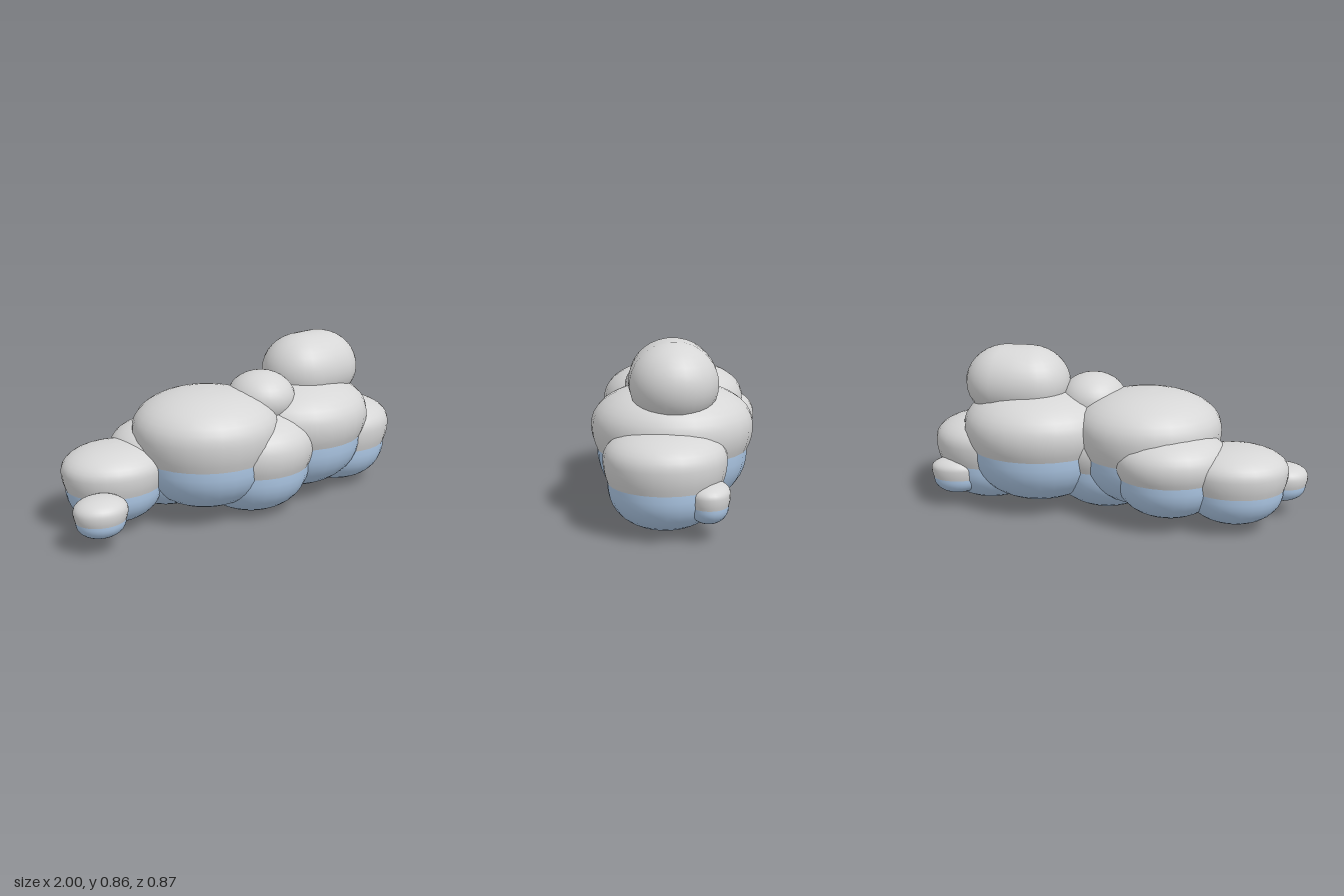
import * as THREE from 'three';

export function createModel() {
  const cloud = new THREE.Group();
  cloud.name = 'cloud';
  const paleGrey = new THREE.MeshStandardMaterial({ color: 0xd6d6d6 });
  paleGrey.name = 'paleGrey';
  const softBlue = new THREE.MeshStandardMaterial({ color: 0xafcae8 });
  softBlue.name = 'softBlue';

  const TUCK = 0.07; // how far the sides draw in at the colour seam
  const STEPS = 10;

  // Quarter of a slightly squared ellipse, from its rim (t = 0) to its pole (t = 1)
  function quarter(t, radius, rimY, poleY, n) {
    const v = Math.sin(t * Math.PI / 2);
    const r = t === 1 ? 0 : Math.pow(1 - Math.pow(v, n), 1 / n);
    return new THREE.Vector2(radius * r, rimY + (poleY - rimY) * v);
  }

  function addLathe(parent, name, points, rx, rz, material) {
    const mesh = new THREE.Mesh(new THREE.LatheGeometry(points, 28).scale(rx, 1, rz), material);
    mesh.name = name;
    parent.add(mesh);
  }

  // One puff: a grey dome, widest at the waist, above a blue bowl that starts at the seam
  function addPuff(name, [x, z], [rx, rz], [bottom, seam, waist, top], n = 2.2) {
    const puff = new THREE.Group();
    puff.name = name;
    puff.position.set(x, 0, z);
    const dome = [], bowl = [];
    for (let i = 4; i > 0; i--) {
      const t = i / 4;
      dome.push(new THREE.Vector2(1 - TUCK * t * t, waist + (seam - waist) * t));
    }
    for (let i = 0; i <= STEPS; i++) {
      dome.push(quarter(i / STEPS, 1, waist, top, n));
      bowl.unshift(quarter(i / STEPS, 1 - TUCK, seam, bottom, n));
    }
    addLathe(puff, name + 'Dome', dome, rx, rz, paleGrey);
    addLathe(puff, name + 'Underside', bowl, rx, rz, softBlue);
    cloud.add(puff);
  }

  // Main body, from the right end to the left end
  addPuff('rightTipPuff', [-0.865, 0.08], [0.135, 0.12], [0.08, 0.165, 0.21, 0.278]);
  addPuff('rightPuff', [-0.63, -0.15], [0.27, 0.24], [0.035, 0.22, 0.31, 0.43]);
  addPuff('backPuff', [-0.3, -0.15], [0.3, 0.288], [0.05, 0.27, 0.35, 0.5]);
  addPuff('largePuff', [-0.17, 0.01], [0.38, 0.37], [0.06, 0.33, 0.46, 0.66]);
  addPuff('frontPuff', [0.06, 0.1], [0.33, 0.325], [0.002, 0.25, 0.35, 0.54]);
  addPuff('chestPuff', [0.42, 0.045], [0.4, 0.388], [0.045, 0.33, 0.44, 0.645]);
  addPuff('leftPuff', [0.7, 0.09], [0.3, 0.285], [0.02, 0.235, 0.34, 0.48], 2.3);
  addPuff('leftTipPuff', [0.845, -0.095], [0.135, 0.1], [0.08, 0.165, 0.215, 0.27]);

  // Small round puff beside the crown
  const smallCrown = new THREE.Mesh(new THREE.SphereGeometry(1, 28, 18), paleGrey);
  smallCrown.name = 'smallCrownPuff';
  smallCrown.scale.set(0.175, 0.14, 0.18);
  smallCrown.position.set(0.135, 0.58, 0.09);
  cloud.add(smallCrown);

  // Crown: an ellipsoid pulled apart along x
  const crownGeometry = new THREE.SphereGeometry(1, 28, 18).scale(0.22, 0.195, 0.21);
  const position = crownGeometry.attributes.position;
  for (let i = 0; i < position.count; i++) {
    const x = position.getX(i);
    if (Math.abs(x) > 1e-4) position.setX(i, x + Math.sign(x) * 0.058);
  }
  const crown = new THREE.Mesh(crownGeometry, paleGrey);
  crown.name = 'crownPuff';
  crown.position.set(0.53, 0.665, 0.045);
  cloud.add(crown);
  return cloud;
}
